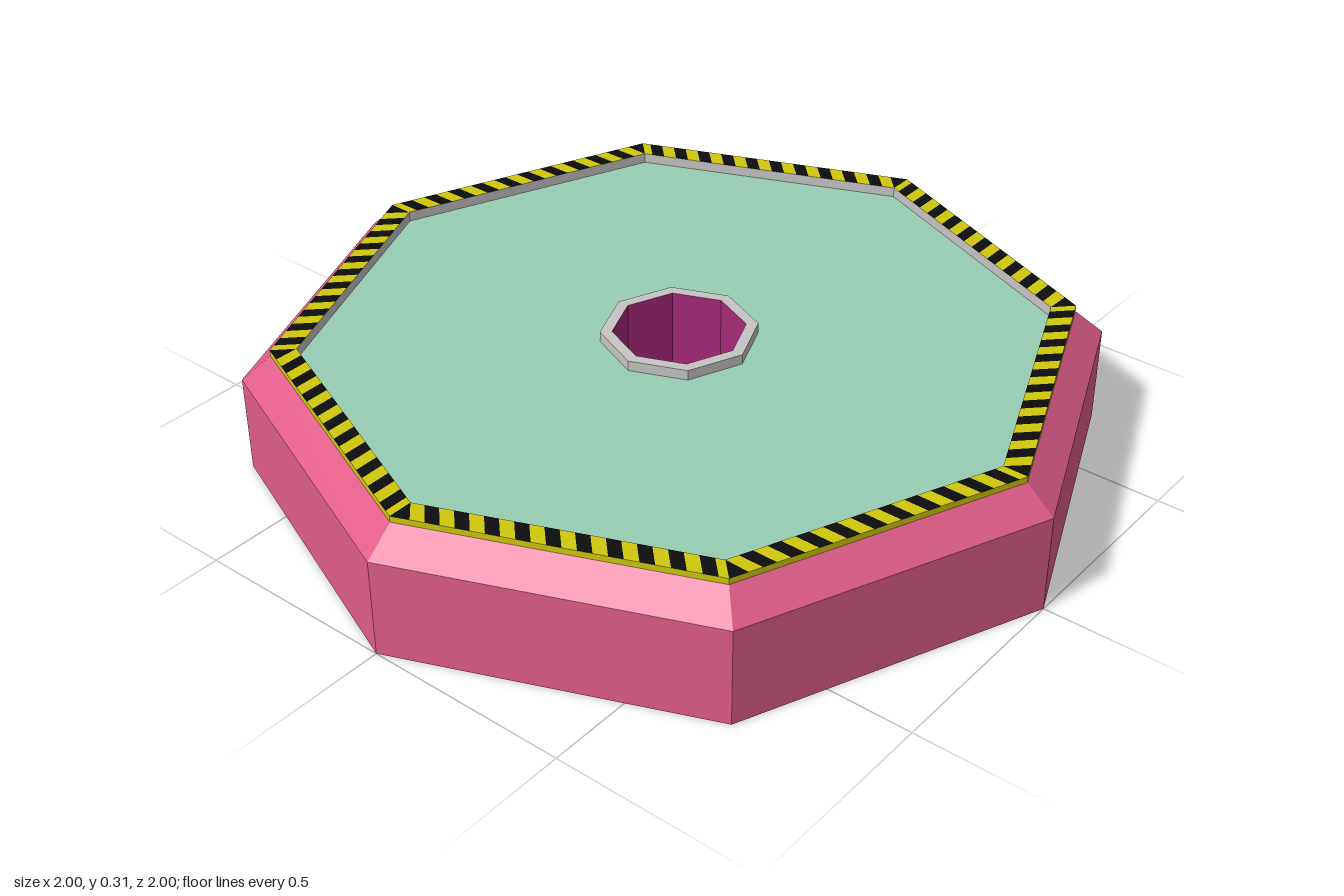
import * as THREE from 'three';

const mat = (name, color, extra = {}) => {
  const m = new THREE.MeshStandardMaterial({ color, flatShading: true, ...extra });
  m.name = name;
  return m;
};

const SIDES = 8;
const HALF = Math.PI / SIDES;

// Octagonal ring surface swept from a radius/height profile (counter-clockwise faces outward)
function ring(name, profile, material) {
  const pts = profile.map(([r, y]) => new THREE.Vector2(r, y));
  const mesh = new THREE.Mesh(new THREE.LatheGeometry(pts, SIDES), material);
  mesh.name = name;
  return mesh;
}

// Every second slanted cell of the flat hazard band, mitred at the corners
function stripes(name, parity, rOut, rIn, y, material) {
  const cells = 22, lean = 0.0115;
  const hOut = rOut * Math.sin(HALF), hIn = rIn * Math.sin(HALF);
  const aOut = rOut * Math.cos(HALF), aIn = rIn * Math.cos(HALF);
  const clamp = THREE.MathUtils.clamp;
  const pos = [];
  for (let s = 0; s < SIDES; s++) {
    const phi = HALF + s * 2 * HALF;
    const point = (along, out) => [
      Math.sin(phi) * out + Math.cos(phi) * along, y,
      Math.cos(phi) * out - Math.sin(phi) * along];
    const cut = (k) => {
      const t = (k / cells * 2 - 1) * hOut;
      const first = k === 0, last = k === cells;
      const o = first ? -hOut : last ? hOut : clamp(t + lean, -hOut, hOut);
      const i = first ? -hIn : last ? hIn : clamp(t - lean, -hIn, hIn);
      return [point(o, aOut), point(i, aIn)];
    };
    for (let k = parity; k < cells; k += 2) {
      const [o0, i0] = cut(k), [o1, i1] = cut(k + 1);
      pos.push(...o0, ...o1, ...i1, ...o0, ...i1, ...i0);
    }
  }
  const geo = new THREE.BufferGeometry();
  geo.setAttribute('position', new THREE.Float32BufferAttribute(pos, 3));
  geo.computeVertexNormals();
  const mesh = new THREE.Mesh(geo, material);
  mesh.name = name;
  return mesh;
}

export function createModel() {
  const pink = mat('pink body', 0xe05c88);
  const green = mat('mint floor', 0x97cdb5);
  const yellow = mat('hazard yellow', 0xd0c80c);
  const black = mat('hazard black', 0x0c0c0c);
  const grey = mat('light grey', 0xc6c4c4);
  const purple = mat('purple bore', 0xa8287a);

  const hole = 0.155, floor = 0.29, top = 0.315, rimOut = 0.93, rimIn = 0.87;
  const group = new THREE.Group();
  group.name = 'octagonalPlatform';
  group.add(
    // Body with underside, walls and chamfer
    ring('body', [[hole, 0], [1, 0], [1, 0.24], [rimOut, 0.3]], pink),
    // Recessed top
    ring('floor', [[rimIn, floor], [0.18, floor]], green),
    // Raised hazard rim
    ring('rimOuterWall', [[rimOut, 0.3], [rimOut, top]], yellow),
    ring('rimInnerWall', [[rimIn, top], [rimIn, floor]], grey),
    stripes('rimBlackStripes', 0, rimOut, rimIn, top, black),
    stripes('rimYellowStripes', 1, rimOut, rimIn, top, yellow),
    // Collar and bore of the central hole
    ring('collar', [[0.183, floor], [0.183, top], [hole, top]], grey),
    ring('bore', [[hole, top], [hole, 0]], purple)
  );
  return group;
}
